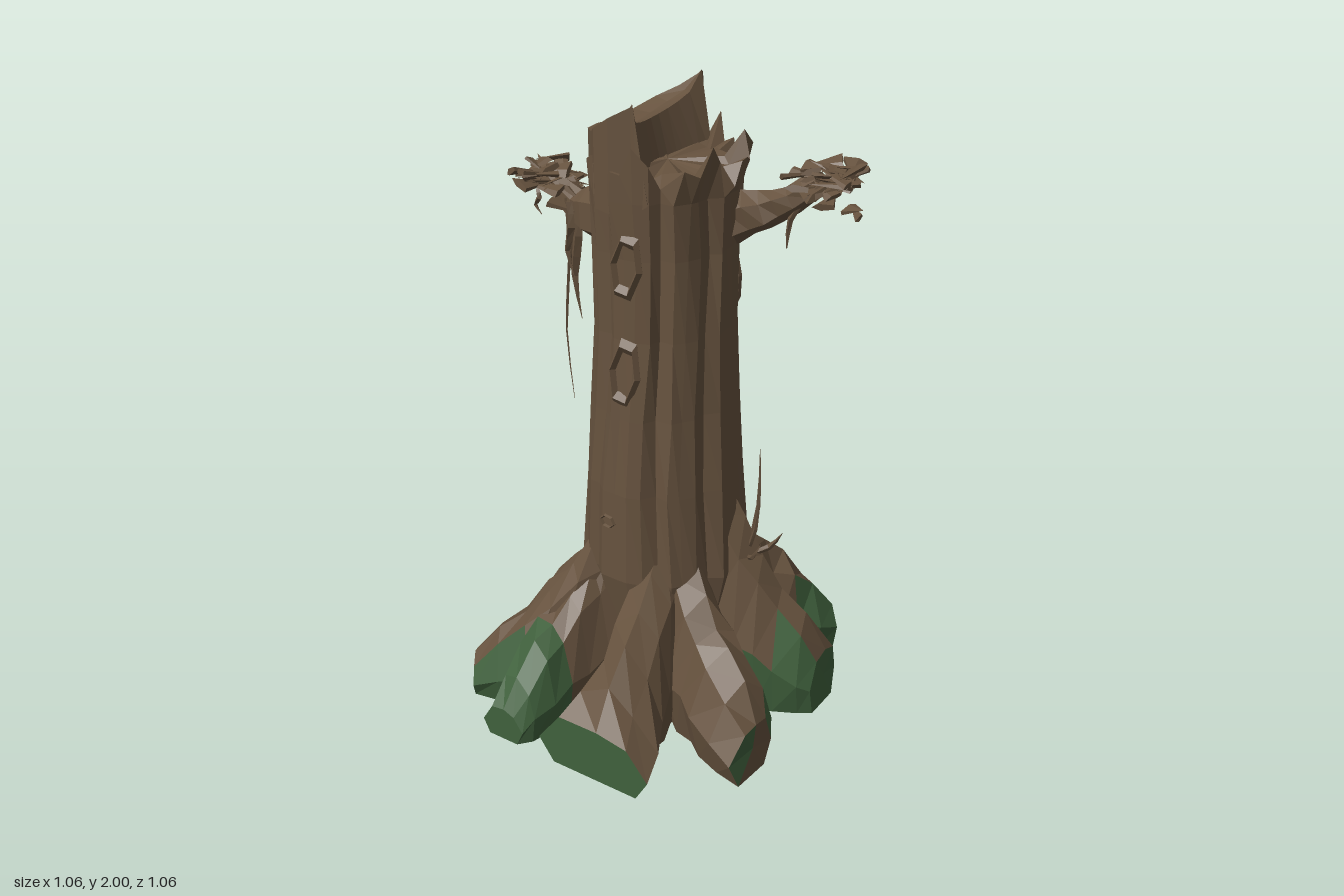
import * as THREE from 'three';
import { mergeGeometries } from 'three/addons/utils/BufferGeometryUtils.js';

const V = (x, y, z) => new THREE.Vector3(x, y, z);
const LIMIT = 0.53;
const { clamp, lerp, degToRad } = THREE.MathUtils;

let seed = 7;
const rnd = () => (seed = (seed * 16807) % 2147483647) / 2147483647;
const jit = (a) => (rnd() - 0.5) * 2 * a;

const bark = new THREE.MeshStandardMaterial({ color: 0x66523e, flatShading: true });
bark.name = 'bark brown';
const moss = new THREE.MeshStandardMaterial({ color: 0x40613d, flatShading: true });
moss.name = 'moss green';

// Joins closed rings into a capped solid; isMoss(i, j, cap) picks the green faces
// (cap is 'start' or 'end' on the caps).
function loft(name, rings, isMoss = () => false) {
  const faces = [[], []];
  const add = (m, ...pts) => faces[m ? 1 : 0].push(pts);
  const n = rings[0].length;
  for (let i = 0; i < rings.length - 1; i++) {
    for (let j = 0; j < n; j++) {
      const a = rings[i][j], b = rings[i][(j + 1) % n];
      const c = rings[i + 1][(j + 1) % n], d = rings[i + 1][j];
      const m = isMoss(i, j);
      add(m, a, b, c);
      add(m, a, c, d);
    }
  }
  const cap = (i, which) => {
    const c = rings[i].reduce((s, p) => s.add(p), V(0, 0, 0)).divideScalar(n);
    rings[i].forEach((p, j) => {
      const q = rings[i][(j + 1) % n], m = isMoss(i, j, which);
      if (which === 'start') add(m, c, q, p); else add(m, c, p, q);
    });
  };
  cap(0, 'start');
  cap(rings.length - 1, 'end');

  // Turn the faces outwards
  let volume = 0;
  faces.flat().forEach(([a, b, c]) => { volume += a.dot(b.clone().cross(c)); });
  if (volume < 0) faces.flat().forEach((f) => f.reverse());

  const g = new THREE.BufferGeometry().setFromPoints(faces.flat(2));
  g.addGroup(0, faces[0].length * 3, 0);
  g.addGroup(faces[0].length * 3, faces[1].length * 3, 1);
  g.computeVertexNormals();
  const mesh = new THREE.Mesh(g, [bark, moss]);
  mesh.name = name;
  return mesh;
}

// Tapered, slightly knobbly limb along a curve
function limb(name, pts, radii, sides = 6, steps = 7, rough = 0.15) {
  const curve = new THREE.CatmullRomCurve3(pts.map((p) => V(...p)));
  const { normals, binormals } = curve.computeFrenetFrames(steps);
  const rings = [];
  for (let i = 0; i <= steps; i++) {
    const f = (i / steps) * (radii.length - 1), k = Math.min(Math.floor(f), radii.length - 2);
    const r = lerp(radii[k], radii[k + 1], f - k);
    const c = curve.getPoint(i / steps);
    rings.push(Array.from({ length: sides }, (_, j) => {
      const a = (j / sides) * Math.PI * 2, q = r * (1 + jit(rough));
      return c.clone().addScaledVector(normals[i], Math.cos(a) * q).addScaledVector(binormals[i], Math.sin(a) * q);
    }));
  }
  return loft(name, rings);
}

// Fluted trunk with a jagged rim
function trunk() {
  const N = 36;
  const levels = [[0, 0.11, 0.11], [0.25, 0.2, 0.21], [0.5, 0.255, 0.255], [0.8, 0.232, 0.25], [1.05, 0.217, 0.235],
    [1.3, 0.206, 0.222], [1.55, 0.205, 0.222], [1.72, 0.212, 0.232], [1.8, 0.214, 0.235]];
  const flute = Array.from({ length: N }, (_, k) => [0.03, 0.04, -0.04, 0.03, 0.015, 0.04, -0.07, 0.02, 0.035][k % 9] + jit(0.025));
  const rings = levels.map(([y, rx, rz], i) => Array.from({ length: N }, (_, k) => {
    const a = ((k + jit(0.22)) / N) * Math.PI * 2 + Math.sin(y * 3) * 0.06;
    const q = 1 + flute[k] + jit(0.018);
    const x = rx * q * Math.cos(a) + 0.015 * Math.max(0, 0.9 - y);
    const z = -0.06 + rz * q * Math.sin(a);
    if (i < levels.length - 1) return V(x, y, z);
    const rise = [0.02, -0.04, 0.03, 0.08, 0][k % 5] * (x > 0 ? 1 : 0.3);
    return V(x > 0.14 ? x * 1.15 : x, y + rise, z);
  }));
  // Sunken floor inside the rim
  const rim = rings[rings.length - 1];
  rings.push(rim.map((p) => V(p.x * 0.75, 1.79 + jit(0.015), -0.06 + (p.z + 0.06) * 0.75)));
  return loft('trunk', rings, (i, j, cap) => cap === 'start');
}

// High broken half of the top, ending in a steep split wall
function brokenTop() {
  const rings = [], steps = 10;
  for (let i = 0; i <= steps; i++) {
    const t = i / steps, s = Math.sin(Math.PI * t);
    const a = degToRad(lerp(262, 80, t));
    const q = 1 + (i % 3 === 1 ? -0.04 : 0.02);
    const ax = 0.215 * q * Math.cos(a), az = -0.06 + 0.24 * q * Math.sin(a);
    const cx = lerp(-0.025, 0.04, t) - 0.06 * s, cz = lerp(-0.285, 0.165, t);
    const outer = 1.99 - 0.13 * s + jit(0.012) * s, inner = 2 - 0.1 * Math.pow(s, 0.45);
    rings.push([V(cx + 0.05, 1.72, cz), V(cx, inner, cz),
      V((ax + cx) / 2, (outer + inner) / 2 - 0.015 * s, (az + cz) / 2),
      V(ax, outer, az), V(ax * 0.99, 1.68, -0.06 + (az + 0.06) * 0.99)]);
  }
  return loft('brokenTop', rings);
}

// Arched root, undercut at the ground; pts are [x, z, halfWidth, height].
// Moss code, seen from outside: L, R flanks; A all round; E whole end, e left half, f right half of the end.
function root(name, pts, code) {
  const steps = 6;
  const path = new THREE.CatmullRomCurve3(pts.map(([x, z, , h]) => V(x, h, z)));
  const arch = [[-0.72, 0], [-1, 0.42], [-0.55, 0.88], [0.08, 1], [0.62, 0.84], [1, 0.4], [0.72, 0]];
  const rings = [];
  for (let i = 0; i <= steps; i++) {
    const t = i / steps, f = t * (pts.length - 1), k = Math.min(Math.floor(f), pts.length - 2);
    const w = lerp(pts[k][2], pts[k + 1][2], f - k);
    const c = path.getPoint(t), d = path.getTangent(t).setY(0).normalize();
    rings.push(arch.map(([u, v]) => {
      const uu = u * w * (1 + jit(0.12)), h = v * c.y * (1 + jit(0.08));
      return V(clamp(c.x + d.z * uu, -LIMIT, LIMIT), h, clamp(c.z - d.x * uu, -LIMIT, LIMIT));
    }));
  }
  const has = (c) => code.includes(c);
  return loft(name, rings, (i, j, cap) => {
    if (cap === 'end') return has('E') || (has('e') && j < 3) || (has('f') && j >= 3 && j < 6);
    if (j === 6 || cap === 'start') return true;
    if (has('A')) return i >= 3;
    if (has('L') && i >= 2 && (j === 0 || (j === 1 && i >= 4))) return true;
    return has('R') && i >= 2 && (j === 5 || (j === 4 && i >= 4));
  });
}

// Flat ragged tuft of bark flakes around a branch tip
function tuft(name, center, size, count) {
  const parts = [];
  for (let i = 0; i < count; i++) {
    const g = new THREE.ConeGeometry(0.022 + rnd() * 0.022, 0.07 + rnd() * 0.06, 5);
    g.rotateZ(Math.PI / 2);
    g.scale(1, 0.3, 1);
    g.rotateX(jit(0.5));
    g.rotateZ(jit(0.35));
    g.rotateY(rnd() * Math.PI * 2);
    g.translate(...center.map((c, k) => c + jit(size[k])));
    const p = g.attributes.position;
    for (let k = 0; k < p.count; k++) p.setX(k, clamp(p.getX(k), -LIMIT, LIMIT));
    parts.push(g);
  }
  const mesh = new THREE.Mesh(mergeGeometries(parts), bark);
  mesh.name = name;
  return mesh;
}

// Raised diamond-shaped bark scar
function scar(x, y, z, w, h, turn = 0) {
  const mesh = new THREE.Mesh(new THREE.TorusGeometry(1, 0.25, 4, 6), bark);
  mesh.name = 'barkScar';
  mesh.scale.set(w, h, 0.06);
  mesh.position.set(x, y, z);
  mesh.rotation.set(0, turn, -0.15);
  return mesh;
}

export function createModel() {
  seed = 7;
  const model = new THREE.Group();
  model.name = 'treeStump';
  model.add(trunk(), brokenTop());

  // Roots
  const roots = [
    ['backRightRoot', [[-0.06, -0.1, 0.1, 0.85], [-0.17, -0.27, 0.1, 0.53], [-0.22, -0.4, 0.11, 0.37], [-0.255, -0.55, 0.11, 0.2]], 'Rf'],
    ['backRoot', [[0.01, -0.1, 0.1, 0.95], [0.02, -0.3, 0.1, 0.53], [0.03, -0.42, 0.1, 0.37], [0.035, -0.55, 0.11, 0.2]], 'RE'],
    ['backLeftRoot', [[0.08, -0.1, 0.1, 0.85], [0.19, -0.27, 0.1, 0.5], [0.26, -0.4, 0.11, 0.37], [0.33, -0.55, 0.11, 0.2]], 'LE'],
    ['leftRoot', [[0.1, -0.07, 0.1, 1.0], [0.27, -0.11, 0.11, 0.62], [0.39, -0.15, 0.11, 0.42], [0.55, -0.2, 0.1, 0.22]], 'LE'],
    ['frontLeftRoot', [[0.1, 0.02, 0.1, 0.75], [0.26, 0.11, 0.12, 0.48], [0.38, 0.17, 0.12, 0.37], [0.55, 0.24, 0.11, 0.2]], 'Re'],
    ['frontRoot', [[0.07, 0, 0.1, 0.75], [0.1, 0.18, 0.12, 0.52], [0.12, 0.35, 0.13, 0.37], [0.13, 0.55, 0.21, 0.19]], 'LE'],
    ['frontRightRoot', [[-0.08, 0, 0.1, 0.75], [-0.2, 0.17, 0.12, 0.5], [-0.32, 0.27, 0.14, 0.33], [-0.47, 0.36, 0.07, 0.14]], 'Rf'],
    ['mossyRoot', [[-0.1, 0.08, 0.09, 0.6], [-0.16, 0.25, 0.1, 0.43], [-0.19, 0.4, 0.11, 0.3], [-0.22, 0.55, 0.08, 0.12]], 'AE'],
    ['rightRoot', [[-0.1, -0.05, 0.1, 0.8], [-0.25, -0.06, 0.11, 0.48], [-0.37, -0.08, 0.12, 0.33], [-0.55, -0.11, 0.1, 0.12]], 'LE'],
  ];
  roots.forEach((r) => model.add(root(...r)));

  // Branches with ragged tips
  model.add(
    limb('leftBranch', [[0.12, 1.6, -0.14], [0.23, 1.64, -0.18], [0.32, 1.68, -0.21], [0.42, 1.75, -0.24]], [0.085, 0.065, 0.045, 0.03]),
    tuft('leftBranchTip', [0.435, 1.755, -0.23], [0.07, 0.035, 0.07], 42),
    tuft('looseSplinters', [0.505, 1.665, -0.3], [0.01, 0.01, 0.03], 2),
    limb('leftBranchTwig', [[0.38, 1.71, -0.22], [0.34, 1.63, -0.2], [0.33, 1.54, -0.2]], [0.012, 0.01, 0.002], 4, 4),
    limb('rightBranch', [[-0.12, 1.59, -0.06], [-0.23, 1.59, -0.06], [-0.32, 1.59, -0.07], [-0.43, 1.65, -0.08]], [0.14, 0.09, 0.05, 0.035]),
    tuft('rightBranchTip', [-0.45, 1.66, -0.08], [0.055, 0.032, 0.08], 40),
    tuft('rightBranchFlakes', [-0.34, 1.61, -0.06], [0.03, 0.02, 0.05], 6),
  );

  // Hanging vines under the right branch: [x, z, bottom, radius]
  [[-0.37, -0.1, 1.28, 0.014], [-0.33, -0.06, 1.22, 0.016], [-0.31, 0, 1.38, 0.013], [-0.345, -0.03, 0.95, 0.005], [-0.47, -0.05, 1.54, 0.008]]
    .forEach(([x, z, low, r]) => model.add(limb('vine',
      [[x, 1.62, z], [x + 0.015, lerp(1.62, low, 0.3), z + 0.01], [x - 0.01, lerp(1.62, low, 0.65), z], [x + 0.015, low, z]],
      [r, r * 1.2, r * 0.8, 0.001], 4, 6)));

  // Twigs sprouting above the left root
  [[0.3, 0.9, -0.14, 0.008], [0.33, 0.78, -0.1, 0.007], [0.39, 0.63, -0.14, 0.009], [0.36, 0.62, -0.06, 0.008]]
    .forEach(([x, y, z, r]) => model.add(limb('twig',
      [[0.28, 0.53, -0.11], [(0.3 + x) / 2, (0.5 + y) / 2, z], [x, y, z]], [r, r, 0.001], 4, 4)));

  // Bark scars and a small knot
  model.add(scar(0.02, 1.53, 0.17, 0.045, 0.09), scar(0.015, 1.2, 0.175, 0.045, 0.1),
    scar(-0.035, 0.7, 0.195, 0.025, 0.02), scar(0.12, 1.4, -0.25, 0.03, 0.08, Math.PI * 0.85));
  return model;
}
